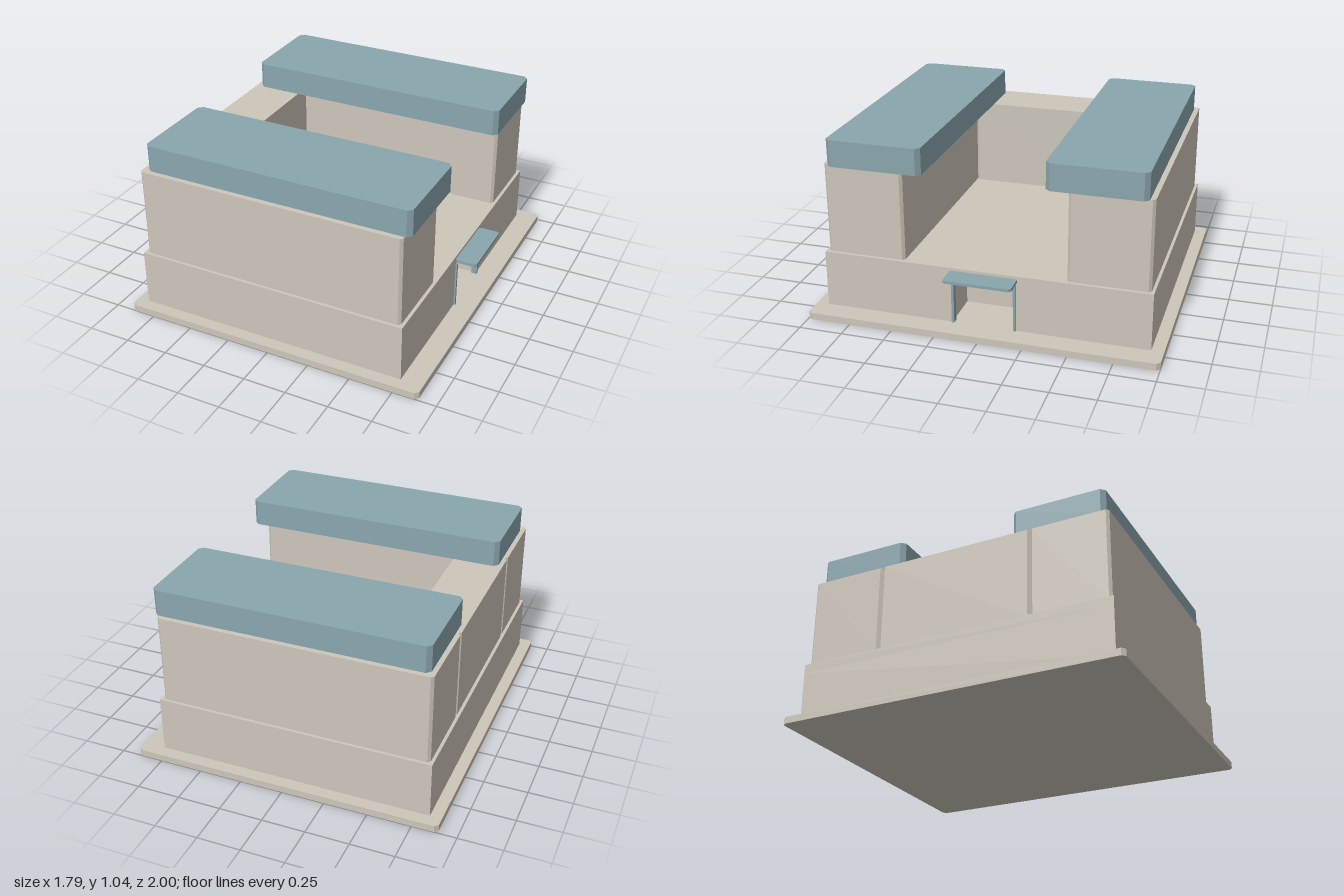
import * as THREE from 'three';

export function createModel() {
  const model = new THREE.Group();
  const stone = new THREE.MeshStandardMaterial({ color: 0xcdc6ba });
  stone.name = 'warm stone';
  const blue = new THREE.MeshStandardMaterial({ color: 0x8aa6ae });
  blue.name = 'slate blue';

  // Upright prism from a plan outline of [x, z] corners
  function prism(name, material, outline, y0, y1) {
    const shape = new THREE.Shape(outline.map(([x, z]) => new THREE.Vector2(x, -z)));
    const geometry = new THREE.ExtrudeGeometry(shape, { depth: y1 - y0, bevelEnabled: false });
    geometry.rotateX(-Math.PI / 2);
    const mesh = new THREE.Mesh(geometry, material);
    mesh.position.y = y0;
    mesh.name = name;
    model.add(mesh);
  }

  // Block with its four vertical corners cut by c
  function block(name, material, [x0, x1], [y0, y1], [z0, z1], c = 0) {
    const outline = c
      ? [[x0 + c, z0], [x1 - c, z0], [x1, z0 + c], [x1, z1 - c],
         [x1 - c, z1], [x0 + c, z1], [x0, z1 - c], [x0, z0 + c]]
      : [[x0, z0], [x1, z0], [x1, z1], [x0, z1]];
    prism(name, material, outline, y0, y1);
  }

  // Ground slab
  block('baseSlab', stone, [-0.895, 0.895], [0, 0.04], [-1, 1], 0.02);

  // Lower storey with a recessed doorway on the +x side
  const px0 = -0.828, px1 = 0.767, pz = 0.93, door = 0.182, back = 0.517;
  prism('podium', stone, [
    [px0, -pz], [px1, -pz], [px1, -door], [back, -door],
    [back, door], [px1, door], [px1, pz], [px0, pz],
  ], 0.04, 0.317);
  block('podiumTop', stone, [px0, px1], [0.317, 0.37], [-pz, pz]);

  // Upper storey: rear link between two wings
  const upper = [0.37, 0.89];
  block('rearLink', stone, [-0.81, -0.517], upper, [-0.46, 0.46], 0.015);
  for (const s of [-1, 1]) {
    const span = (a, b) => (s > 0 ? [a, b] : [-b, -a]);
    block('wing', stone, [-0.81, 0.748], upper, span(0.46, 0.913), 0.015);
    block('roof', blue, [-0.783, 0.78], [0.89, 1.043], span(0.342, 0.884), 0.025);
    block('doorPost', blue, [0.742, 0.776], [0.04, 0.319], span(0.169, 0.184));
  }

  // Door lintel and canopy
  block('lintel', stone, [0.74, 0.796], [0.318, 0.337], [-0.17, 0.17]);
  block('canopy', blue, [0.764, 0.892], [0.337, 0.354], [-0.192, 0.192], 0.012);

  return model;
}
